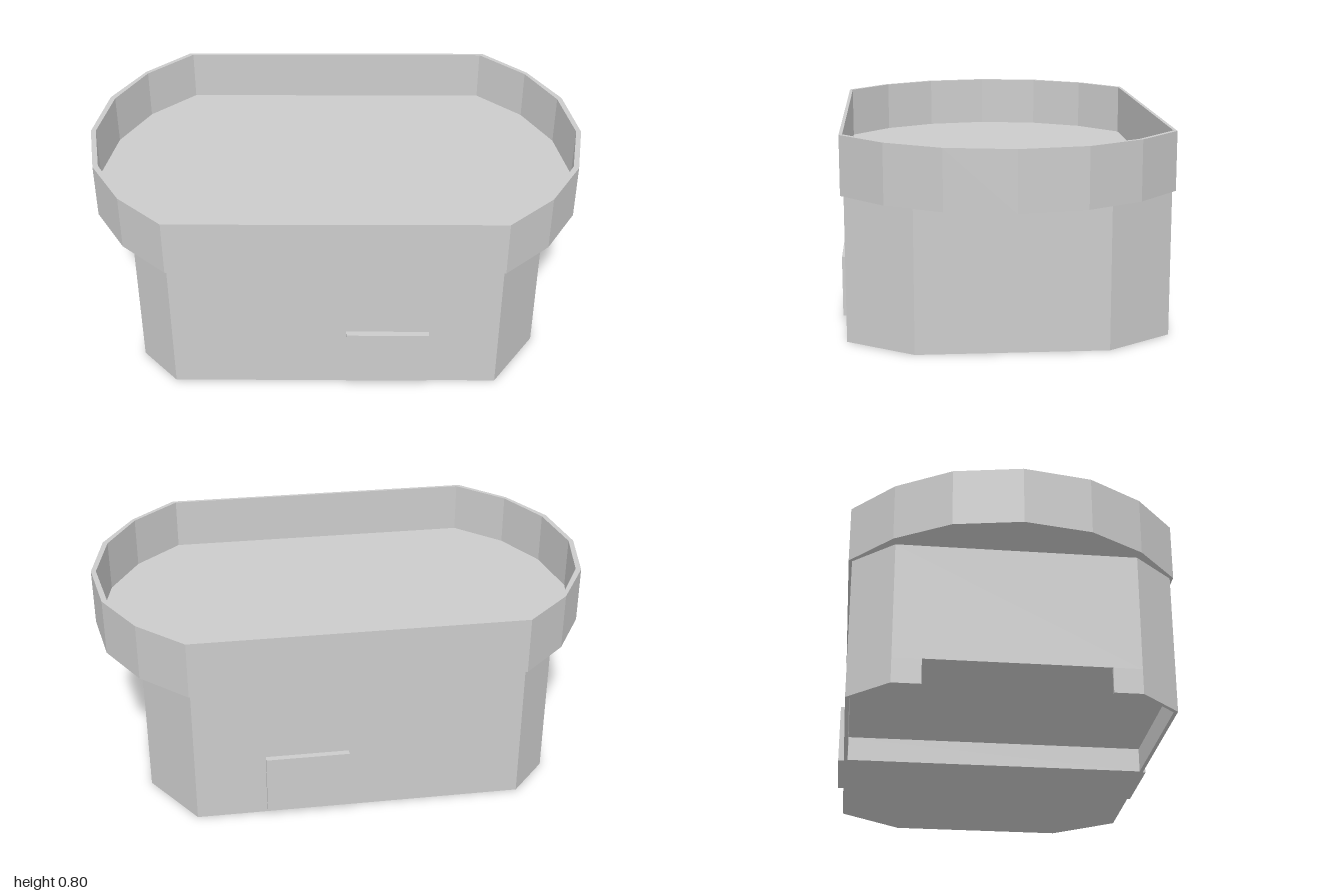
import * as THREE from 'three';

const material = new THREE.MeshStandardMaterial({ color: 0xcccccc, flatShading: true });

// Upright prism from a plan outline of [x, z] points, between heights y0 and y1
function prism(name, outline, y0, y1, hole) {
  const toVectors = (pts) => pts.map(([x, z]) => new THREE.Vector2(x, z));
  const shape = new THREE.Shape(toVectors(outline));
  if (hole) shape.holes.push(new THREE.Path(toVectors(hole)));
  const geometry = new THREE.ExtrudeGeometry(shape, { depth: y1 - y0, bevelEnabled: false });
  geometry.rotateX(Math.PI / 2).translate(0, y1, 0);
  const mesh = new THREE.Mesh(geometry, material);
  mesh.name = name;
  return mesh;
}

// Closed outline from the points of one half (z >= 0), mirrored in z
const mirrorZ = (half) => [
  ...half,
  ...half.filter(([, z]) => z > 0).reverse().map(([x, z]) => [x, -z]),
];

export function createModel() {
  const model = new THREE.Group();
  model.name = 'trayBox';

  // Open tray: thin rim around a floor
  const outerEnd = [[1, 0], [0.955, 0.26], [0.83, 0.47], [0.65, 0.633]];
  const innerEnd = [[0.98, 0], [0.935, 0.25], [0.82, 0.457], [0.637, 0.62]];
  const oval = (end) => mirrorZ([...end, ...end.map(([x, z]) => [-x, z]).reverse()]);
  model.add(prism('trayRim', oval(outerEnd), 0.57, 0.8, oval(innerEnd)));
  model.add(prism('trayFloor', oval(innerEnd), 0.57, 0.59));

  // Body: full height on one half, raised underside on the other
  const step = -0.02, recess = 0.1;
  const rightEnd = [[0.82, 0.365], [0.645, 0.62]];
  const leftEnd = [[-0.645, 0.62], [-0.79, 0.46]];
  model.add(prism('bodyUpper', mirrorZ([...rightEnd, ...leftEnd]), recess, 0.57));
  model.add(prism('bodyBase', mirrorZ([...rightEnd, [step, 0.62]]), 0, recess));

  // Thin skirt walls around the recess, ending in a short return at the end opening
  for (const s of [1, -1]) {
    const wall = [
      [step, 0.62], ...leftEnd, [-0.79, 0.35],
      [-0.775, 0.35], [-0.775, 0.455], [-0.638, 0.605], [step, 0.605],
    ].map(([x, z]) => [x, s * z]);
    model.add(prism(s > 0 ? 'frontSkirt' : 'backSkirt', wall, 0, recess));
  }

  // Flat plates on the front and back
  for (const s of [1, -1]) {
    const plate = new THREE.Mesh(new THREE.BoxGeometry(0.326, 0.242, 0.035), material);
    plate.position.set(0.206, 0.141, s * 0.6265);
    plate.name = s > 0 ? 'frontPlate' : 'backPlate';
    model.add(plate);
  }
  return model;
}
